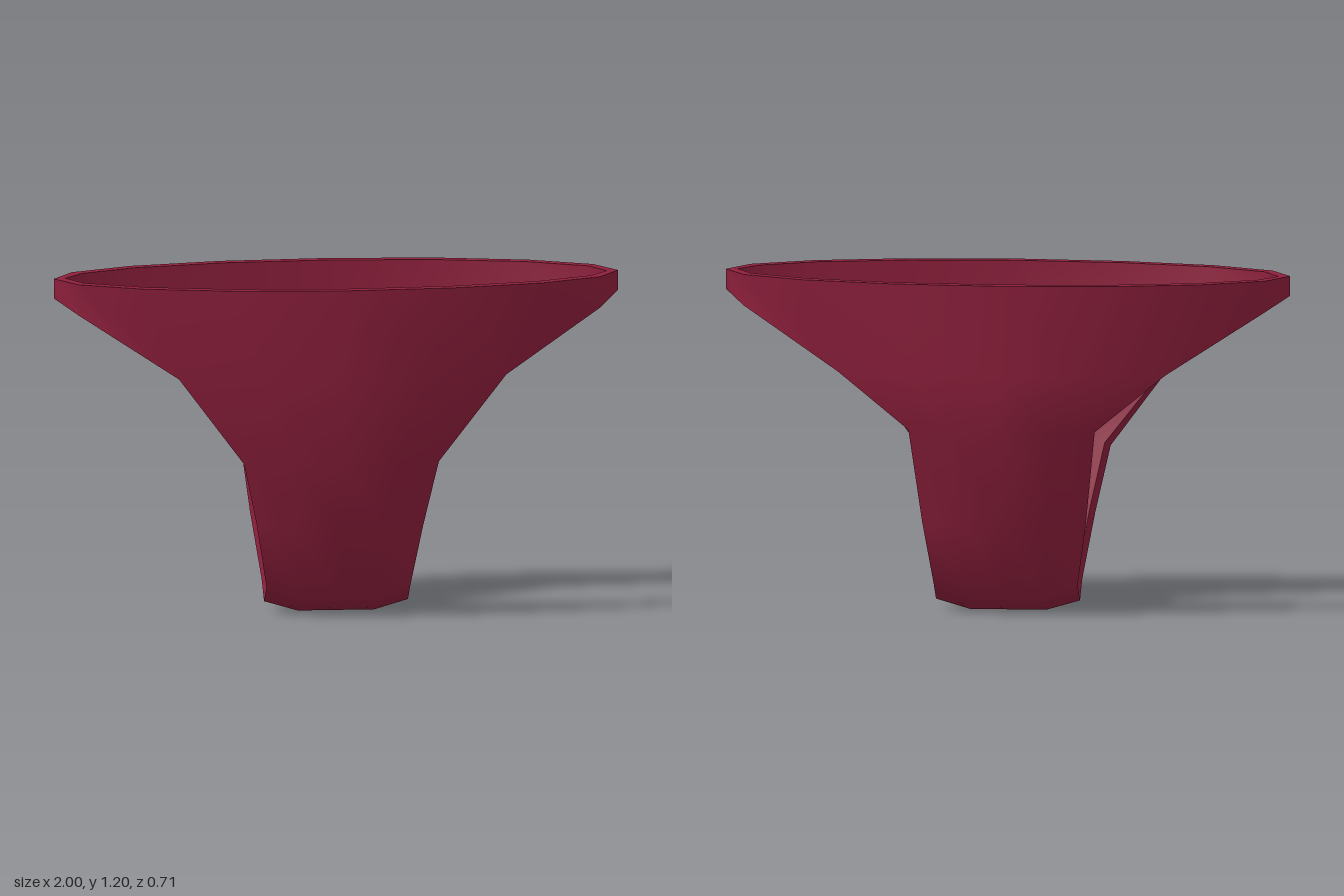
import * as THREE from 'three';
import { toCreasedNormals } from 'three/addons/utils/BufferGeometryUtils.js';

const SIDES = 16;
const THICKNESS = 0.043;

// Lower panel rows from front to back: half width, edge z, edge y, centre z, centre y
const ROWS = [
  [0.345, 0.205, 0.56, 0.30, 0.56],
  [0.295, 0.16, 0.33, 0.24, 0.33],
  [0.255, 0.09, 0.10, 0.13, 0.065],
  [0.255, 0, 0.035, 0, 0],
  [0.255, -0.09, 0.10, -0.13, 0.065],
  [0.29, -0.155, 0.33, -0.235, 0.33],
  [0.33, -0.25, 0.67, -0.335, 0.67],
];

function indexed(points, faces) {
  const geometry = new THREE.BufferGeometry();
  geometry.setAttribute('position', new THREE.Float32BufferAttribute(points.flatMap((p) => p.toArray()), 3));
  geometry.setIndex(faces.flatMap(([a, b, c, d]) => [a, b, d, b, c, d]));
  geometry.computeVertexNormals();
  return geometry;
}

export function createModel() {
  const points = [];
  const quads = [];
  const add = (x, y, z) => points.push(new THREE.Vector3(x, y, z)) - 1;

  // Oval waist loop, and the loop below it that dips between the leg openings
  const waist = [];
  const hip = [];
  for (let i = 0; i < SIDES; i++) {
    const a = (i / SIDES) * Math.PI * 2;
    waist.push(add(Math.cos(a), 1.2, 0.353 * Math.sin(a)));
  }
  for (let i = 0; i < SIDES; i++) {
    const a = (i / SIDES) * Math.PI * 2;
    const step = Math.min(i % 8, 8 - (i % 8)); // 0 at the side seam, 4 at the centre
    const x = Math.sign(Math.cos(a)) * [1, 0.925, 0.58, 0.3, 0][step];
    const z = Math.sign(Math.sin(a)) * [0, 0.133, 0.25, 0.325, 0.353][step];
    hip.push(add(x, [1.13, 1.09, 0.875, 0.875, 0.875][step], z));
  }
  for (let i = 0; i < SIDES; i++) {
    const j = (i + 1) % SIDES;
    quads.push([waist[i], waist[j], hip[j], hip[i]]);
  }

  // Panel running down the front, under and up the back
  const strip = [hip.slice(2, 7)];
  for (const [w, edgeZ, edgeY, midZ, midY] of ROWS) {
    strip.push([1, 0.53, 0, -0.53, -1].map((u) => {
      const k = u === 0 ? 1 : Math.abs(u) === 1 ? 0 : 0.85;
      return add(u * w, edgeY + (midY - edgeY) * (k ? 1 : 0), edgeZ + (midZ - edgeZ) * k);
    }));
  }
  strip.push(hip.slice(10, 15).reverse());
  for (let r = 0; r < strip.length - 1; r++) {
    for (let c = 0; c < 4; c++) {
      quads.push([strip[r][c], strip[r][c + 1], strip[r + 1][c + 1], strip[r + 1][c]]);
    }
  }

  // Inner surface: the outer one moved inward along its normals
  const outerGeometry = indexed(points, quads);
  const normals = outerGeometry.getAttribute('normal');
  const inner = points.map((p, i) => {
    const n = new THREE.Vector3().fromBufferAttribute(normals, i);
    if (i < SIDES * 2) n.setY(0).normalize();
    return p.clone().addScaledVector(n, -THICKNESS);
  });
  const innerGeometry = indexed(inner, quads.map((q) => [...q].reverse()));

  // Rims close the open edges of the waist and the leg openings
  const edges = quads.flatMap((q) => q.map((a, i) => [a, q[(i + 1) % 4]]));
  const used = new Set(edges.map(([a, b]) => `${a},${b}`));
  const n = points.length;
  const rims = edges.filter(([a, b]) => !used.has(`${b},${a}`)).map(([a, b]) => [b, a, a + n, b + n]);
  const rimGeometry = toCreasedNormals(indexed([...points, ...inner], rims), 0.6);

  const material = new THREE.MeshStandardMaterial({ color: 0x8e1f3c });
  const group = new THREE.Group();
  group.name = 'briefs';
  const parts = { outerFabric: outerGeometry, innerFabric: innerGeometry, openingRims: rimGeometry };
  for (const [name, geometry] of Object.entries(parts)) {
    const mesh = new THREE.Mesh(geometry, material);
    mesh.name = name;
    group.add(mesh);
  }
  return group;
}
